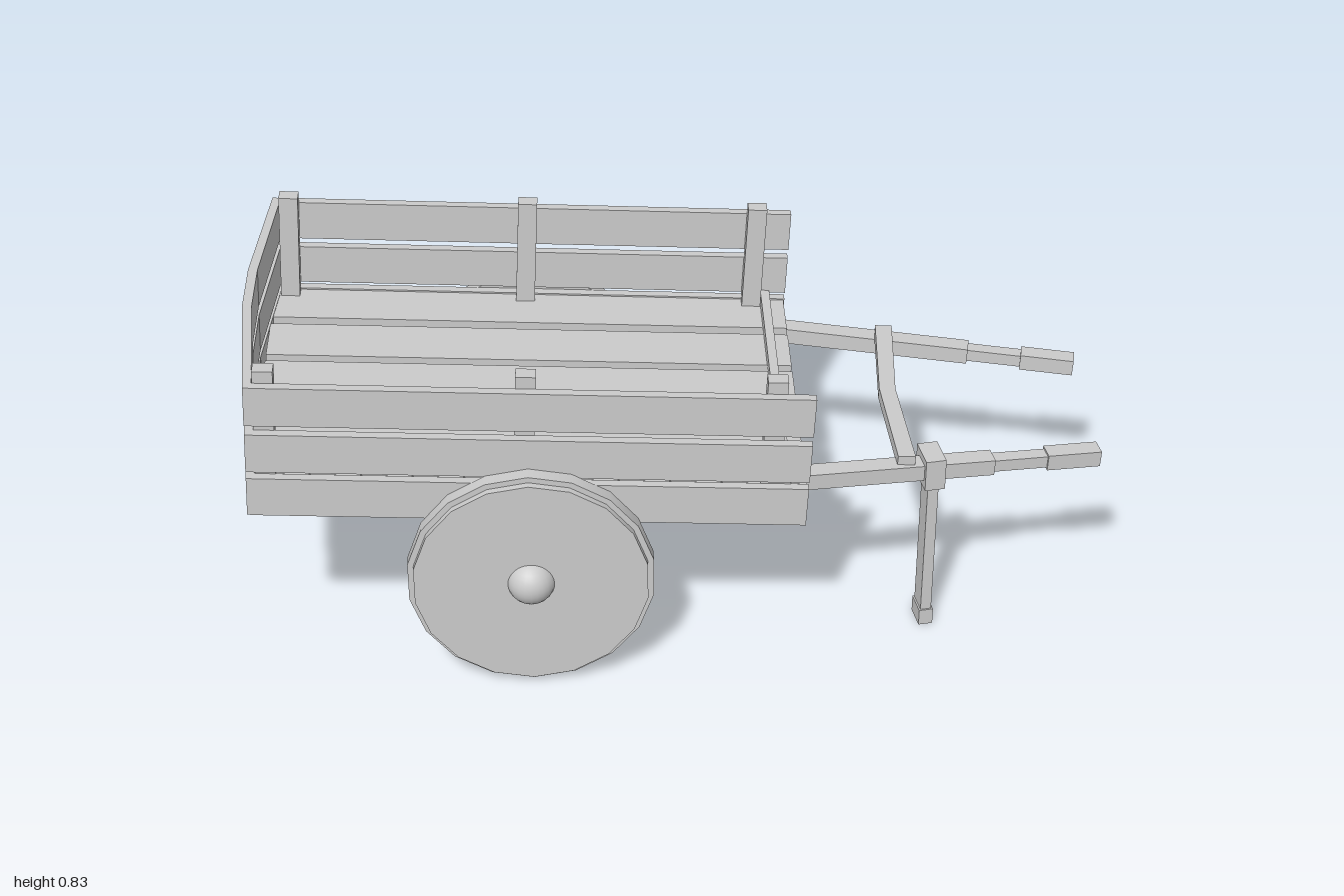
import * as THREE from 'three';

const material = new THREE.MeshStandardMaterial({ color: 0xcccccc });

function add(parent, name, geometry, x = 0, y = 0, z = 0) {
  const mesh = new THREE.Mesh(geometry, material);
  mesh.name = name;
  mesh.position.set(x, y, z);
  parent.add(mesh);
  return mesh;
}

// Box given by its limits along each axis
function slab(parent, name, [x0, x1], [y0, y1], [z0, z1]) {
  const geometry = new THREE.BoxGeometry(x1 - x0, y1 - y0, z1 - z0);
  return add(parent, name, geometry, (x0 + x1) / 2, (y0 + y1) / 2, (z0 + z1) / 2);
}

// Plan outline of [x, z] points, raised from y0 to y1
function raised(parent, name, outline, y0, y1) {
  const shape = new THREE.Shape(outline.map(([x, z]) => new THREE.Vector2(x, -z)));
  const geometry = new THREE.ExtrudeGeometry(shape, { depth: y1 - y0, bevelEnabled: false });
  geometry.rotateX(-Math.PI / 2);
  return add(parent, name, geometry, 0, y0, 0);
}

export function createModel() {
  const cart = new THREE.Group();
  cart.name = 'handcart';

  // Body leans down toward the handles; heights inside are relative to y = 0.5
  const body = new THREE.Group();
  body.name = 'body';
  body.position.y = 0.5;
  body.rotation.z = -0.0485;
  cart.add(body);

  // Floor planks with gaps
  for (let i = -2; i <= 2; i++) {
    const z = i * 0.166;
    const half = Math.abs(i) === 2 ? 0.066 : 0.07;
    slab(body, 'floorPlank', [-0.965, 0.295], [-0.012, 0.01], [z - half, z + half]);
  }
  slab(body, 'frontRail', [0.236, 0.258], [0.01, 0.036], [-0.402, 0.402]);

  // Three rows of boards: two sides and a bowed tailgate
  const gate = [[-0.968, 0.422], [-0.998, 0.08], [-0.998, -0.08], [-0.968, -0.422],
    [-0.948, -0.422], [-0.976, -0.08], [-0.976, 0.08], [-0.948, 0.422]];
  for (const y of [-0.088, 0.03, 0.154]) {
    for (const s of [-1, 1]) {
      const board = slab(body, 'sideBoard', [-0.955, 0.298], [y, y + 0.1], [0.401, 0.423]);
      board.position.z *= s;
    }
    raised(body, 'tailgateBoard', gate, y, y + 0.1);
  }

  // Upright posts inside the side boards
  for (const s of [-1, 1]) {
    for (const x of [-0.926, -0.348, 0.212]) {
      const post = slab(body, 'post', [x - 0.023, x + 0.023], [-0.088, 0.284], [0.366, 0.402]);
      post.position.z *= s;
    }
  }

  // Converging handles: shaft, thin neck and grip
  const angle = Math.atan2(0.12, 0.7);
  for (const s of [-1, 1]) {
    const handle = new THREE.Group();
    handle.name = s > 0 ? 'leftHandle' : 'rightHandle';
    handle.position.set(0.3, -0.03, s * 0.315);
    handle.rotation.y = s * angle;
    body.add(handle);
    slab(handle, 'shaft', [-0.13, 0.45], [-0.02, 0.02], [-0.023, 0.023]);
    slab(handle, 'neck', [0.45, 0.58], [-0.015, 0.015], [-0.017, 0.017]);
    slab(handle, 'grip', [0.58, 0.71], [-0.02, 0.02], [-0.022, 0.022]);
  }

  // Bowed bar across the handles
  raised(body, 'crossbar', [[0.515, 0.285], [0.498, 0], [0.515, -0.285],
    [0.556, -0.285], [0.537, 0], [0.556, 0.285]], -0.014, 0.013);

  // Standing leg under the left handle
  const leg = new THREE.Group();
  leg.name = 'leg';
  leg.position.set(0.596, 0, 0.258);
  leg.rotation.y = angle;
  cart.add(leg);
  slab(leg, 'legHead', [-0.024, 0.024], [0.4, 0.48], [-0.04, 0.04]);
  slab(leg, 'legShaft', [-0.013, 0.013], [0.04, 0.41], [-0.026, 0.026]);
  slab(leg, 'legFoot', [-0.017, 0.017], [0, 0.042], [-0.03, 0.03]);

  // Solid wheels with a stepped outer face and a round hub
  for (const s of [-1, 1]) {
    const wheel = new THREE.Group();
    wheel.name = s > 0 ? 'leftWheel' : 'rightWheel';
    wheel.position.set(-0.335, 0.285, 0);
    cart.add(wheel);
    const disc = (r, depth) => new THREE.CylinderGeometry(r, r, depth, 18).rotateX(Math.PI / 2);
    add(wheel, 'tyre', disc(0.285, 0.034), 0, 0, s * 0.44);
    add(wheel, 'wheelFace', disc(0.271, 0.034), 0, 0, s * 0.457);
    add(wheel, 'hub', new THREE.SphereGeometry(0.056, 24, 16), 0, 0, s * 0.458);
  }

  return cart;
}
